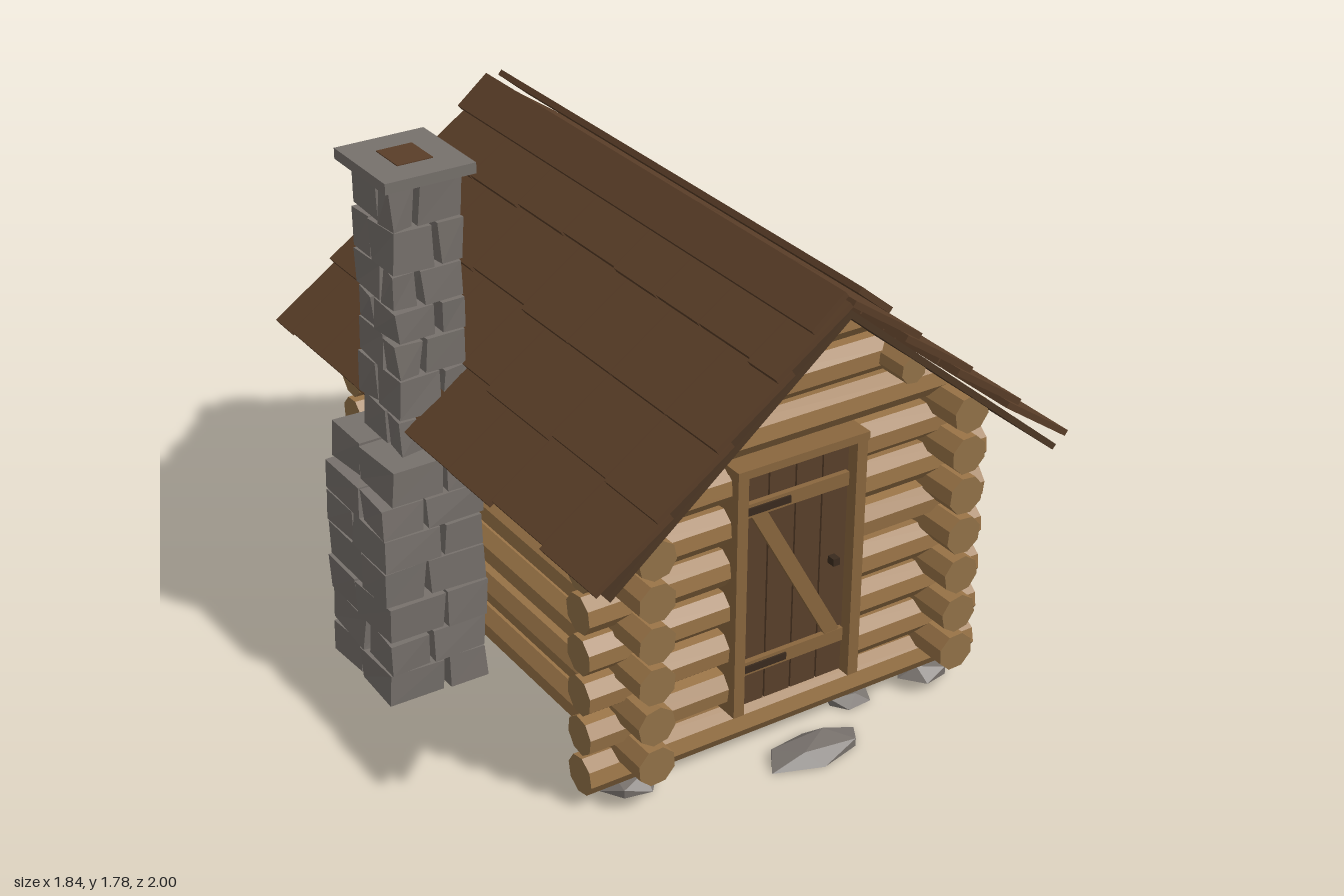
import * as THREE from 'three';

const mat = (name, color, extra = {}) => {
  const m = new THREE.MeshStandardMaterial({ color, flatShading: true, ...extra });
  m.name = name;
  return m;
};

export function createModel() {
  const M = {
    log: mat('log wood', 0x9a7447),
    end: mat('cut log end', 0x937349),
    trim: mat('trim wood', 0x8a673e),
    door: mat('door wood', 0x5a402a),
    shingle: mat('shingle', 0x5a3e28),
    deck: mat('roof deck and floor', 0x4e3825),
    stone: mat('stone', 0x77716c),
    iron: mat('iron', 0x3a2b1e),
    glass: mat('window glass', 0xd0c58c),
  };
  let seed = 7;
  const rnd = () => (seed = (seed * 16807) % 2147483647) / 2147483647;
  const model = new THREE.Group();
  model.name = 'logCabin';
  const group = (name, parent = model) => {
    const g = new THREE.Group();
    g.name = name;
    parent.add(g);
    return g;
  };
  const add = (parent, name, geo, material) => {
    const mesh = new THREE.Mesh(geo, material);
    mesh.name = name;
    parent.add(mesh);
    return mesh;
  };
  // Box given by its limits on each axis
  const box = (parent, name, material, x0, x1, y0, y1, z0, z1) => {
    const m = add(parent, name, new THREE.BoxGeometry(x1 - x0, y1 - y0, z1 - z0), material);
    m.position.set((x0 + x1) / 2, (y0 + y1) / 2, (z0 + z1) / 2);
    return m;
  };

  const CX = 0.06, HX = 0.565, HZ = 0.71, STEP = 0.143, R = 0.066;
  const eachVertex = (geo, fn) => {
    const p = geo.attributes.position, v = new THREE.Vector3();
    for (let i = 0; i < p.count; i++) {
      v.fromBufferAttribute(p, i);
      fn(v);
      p.setXYZ(i, v.x, v.y, v.z);
    }
    geo.computeVertexNormals();
  };
  // Octagonal log running from a to b along x or z
  const log = (parent, name, axis, a, b, y, across, r = R) => {
    const geo = new THREE.CylinderGeometry(r, r * 0.97, b - a, 8);
    geo.rotateY(Math.PI / 8 + (rnd() - 0.5) * 0.5);
    if (axis === 'x') geo.rotateZ(Math.PI / 2);
    else geo.rotateX(Math.PI / 2);
    const mid = (a + b) / 2;
    geo.translate(axis === 'x' ? mid : across, y, axis === 'x' ? across : mid);
    if (axis === 'x') eachVertex(geo, v => {
      // Trim the ends to the roof slope
      const lim = (1.545 - v.y) / 0.827;
      v.x = THREE.MathUtils.clamp(v.x, CX - lim, CX + lim);
    });
    add(parent, name, geo, [M.log, M.end, M.end]);
  };

  // Front and back walls with gables; the front leaves a doorway
  const walls = group('walls');
  for (let i = 0; i < 10; i++) {
    const y = 0.098 + STEP * i;
    log(walls, 'backLog', 'x', CX - 0.73, CX + 0.73, y, -HZ);
    if (i > 0 && i < 7) {
      log(walls, 'frontLogRight', 'x', CX - 0.73, -0.15, y, HZ);
      log(walls, 'frontLogLeft', 'x', 0.27, CX + 0.73, y, HZ);
    } else log(walls, 'frontLog', 'x', CX - 0.73, CX + 0.73, y, HZ);
  }
  // Side walls; the left one leaves a window opening
  for (let i = 0; i < 7; i++) {
    const y = 0.167 + STEP * i;
    log(walls, 'rightSideLog', 'z', -0.88, 0.88, y, CX - HX);
    if (i === 2 || i === 3) {
      log(walls, 'leftSideLogBack', 'z', -0.88, -0.06, y, CX + HX);
      log(walls, 'leftSideLogFront', 'z', 0.29, 0.88, y, CX + HX);
    } else log(walls, 'leftSideLog', 'z', -0.88, 0.88, y, CX + HX);
  }

  // Floor planks
  const floor = group('floor');
  for (let i = 0; i < 6; i++) {
    const x = -0.49 + i * 0.184;
    box(floor, 'floorPlank', M.deck, x, x + 0.18, 0.12, 0.15, -0.7, 0.7);
  }

  // Door with frame, braces and ironwork
  const door = group('door');
  for (let i = 0; i < 4; i++) {
    const x = -0.135 + i * 0.098;
    box(door, 'doorPlank', M.door, x, x + 0.092, 0.175, 1.0, 0.735, 0.765);
  }
  box(door, 'doorBacking', M.iron, -0.14, 0.26, 0.17, 1.0, 0.725, 0.735);
  for (const x of [-0.175, 0.257]) box(door, 'doorPost', M.trim, x, x + 0.038, 0.165, 1.0, 0.64, 0.8);
  box(door, 'doorLintel', M.trim, -0.178, 0.298, 1.0, 1.028, 0.64, 0.805);
  for (const y of [0.317, 0.873]) {
    box(door, 'doorBrace', M.trim, -0.128, 0.243, y - 0.023, y + 0.023, 0.765, 0.783);
    box(door, 'hinge', M.iron, -0.135, 0.025, y - 0.012, y + 0.012, 0.783, 0.789);
  }
  const brace = add(door, 'diagonalBrace', new THREE.BoxGeometry(0.05, 0.6, 0.016), M.trim);
  brace.position.set(0.06, 0.595, 0.774);
  brace.rotation.z = Math.atan2(0.29, 0.52);
  box(door, 'doorHandle', M.iron, 0.188, 0.212, 0.585, 0.61, 0.765, 0.795);

  // Window in the left wall
  const win = group('window');
  box(win, 'pane', M.glass, 0.652, 0.66, 0.39, 0.652, -0.058, 0.288);
  box(win, 'mullionUpright', M.iron, 0.66, 0.676, 0.39, 0.652, 0.107, 0.123);
  box(win, 'mullionBar', M.iron, 0.66, 0.676, 0.521, 0.537, -0.055, 0.285);
  for (const z of [-0.082, 0.285]) box(win, 'windowPost', M.trim, 0.57, 0.715, 0.385, 0.67, z, z + 0.027);
  box(win, 'windowHead', M.trim, 0.57, 0.715, 0.648, 0.672, -0.082, 0.312);
  box(win, 'windowSill', M.trim, 0.57, 0.735, 0.372, 0.392, -0.1, 0.335);

  // Ridge beam and purlins
  const roof = group('roof');
  log(roof, 'ridgeBeam', 'z', -0.88, 0.88, 1.508, CX, 0.057);
  log(roof, 'purlinLeft', 'z', -0.74, 0.88, 1.24, CX + 0.33, 0.046);
  log(roof, 'purlinRight', 'z', -0.88, 0.74, 1.24, CX - 0.33, 0.046);

  // Roof slopes: deck, four shingle courses (seams along z) and a ridge board
  const eaves = [1.06, 0.8, 0.54, 0.29];
  const seams = {
    1: [[-0.69, -0.46, -0.115, 0.135, 0.46, 0.69], [-0.8, -0.53, -0.25, 0.055, 0.37, 0.65, 0.91],
      [-0.85, -0.59, -0.32, 0, 0.27, 0.56, 0.79], [-0.74, -0.48, -0.18, 0.09, 0.34, 0.59, 0.88]],
    '-1': [[-0.89, -0.69, -0.44, -0.13, 0.18, 0.42, 0.71], [-0.59, -0.32, -0.1, 0.07, 0.43, 0.73],
      [-0.82, -0.62, -0.38, -0.06, 0.21, 0.45, 0.74], [-0.71, -0.42, -0.15, 0.15, 0.38, 0.6, 0.86]],
  };
  for (const s of [1, -1]) {
    const slope = group(s > 0 ? 'leftSlope' : 'rightSlope', roof);
    slope.position.set(CX, 1.57, 0);
    slope.rotation.z = -s * 0.691;
    const deck = add(slope, 'roofDeck', new THREE.BoxGeometry(1.05, 0.02, 1.99), M.deck);
    deck.position.set(s * 0.525, -0.01, 0);
    eaves.forEach((d, row) => {
      const zs = [-1, ...seams[s][row], 1];
      for (let i = 0; i + 1 < zs.length; i++) {
        const len = 0.3 + (rnd() - 0.5) * 0.02;
        const a = zs[i] + (i ? 0.003 : 0), b = zs[i + 1] - (i + 2 < zs.length ? 0.003 : 0);
        const tile = add(slope, 'shingle', new THREE.BoxGeometry(len, 0.02, b - a), M.shingle);
        tile.position.set(s * (d - 0.3 + len / 2), 0.032, (a + b) / 2);
        tile.rotation.z = s * 0.09;
      }
    });
    const board = add(slope, 'ridgeBoard', new THREE.BoxGeometry(0.145, 0.02, 2), M.shingle);
    board.position.set(s * 0.0525, 0.06, 0);
  }

  // Chimney: rough blocks in courses with alternating joints
  const chimney = group('chimney');
  const block = (x0, x1, y0, y1, z0, z1) => {
    const m = box(chimney, 'chimneyStone', M.stone, x0, x1, y0, y1, z0, z1);
    const cut = Array.from({ length: 8 }, () => [rnd() * 0.018, rnd() * 0.006, rnd() * 0.014]);
    eachVertex(m.geometry, v => {
      const c = cut[(v.x > 0) + 2 * (v.y > 0) + 4 * (v.z > 0)];
      v.set(v.x - Math.sign(v.x) * c[0], v.y - Math.sign(v.y) * c[1], v.z - Math.sign(v.z) * c[2]);
    });
  };
  const levels = [0, 0.12, 0.237, 0.37, 0.5, 0.615, 0.725, 0.85, 0.97, 1.11, 1.23, 1.34, 1.46, 1.6, 1.745];
  for (let i = 0; i + 1 < levels.length; i++) {
    const low = i < 7;
    const x0 = low ? (i === 6 ? -0.89 : -0.925) : -0.815, x1 = -0.563;
    const z0 = low ? -0.43 : -0.352, z1 = low ? -0.015 : -0.085;
    const zm = (z0 + z1) / 2 + (i % 2 ? 0.035 : -0.02);
    const xm = (x0 + x1) / 2 + (i % 2 ? -0.03 : 0.03);
    for (const [a, b] of [[x0, xm], [xm, x1]])
      for (const [c, d] of [[z0, zm], [zm, z1]]) block(a, b, levels[i], levels[i + 1], c, d);
  }
  box(chimney, 'chimneyCap', M.stone, -0.837, -0.535, 1.742, 1.777, -0.382, -0.057);
  box(chimney, 'flueOpening', M.shingle, -0.745, -0.625, 1.776, 1.78, -0.288, -0.155);

  // Foundation stones and doorstep: x, z, half width, height, half depth
  const base = group('foundation');
  const rocks = [
    [-0.5, 0.71, 0.1, 0.045, 0.09], [0.63, 0.71, 0.1, 0.045, 0.09],
    [-0.5, -0.71, 0.1, 0.045, 0.09], [0.63, -0.71, 0.1, 0.045, 0.09],
    [0.33, 0.71, 0.085, 0.04, 0.07], [-0.2, -0.71, 0.085, 0.04, 0.07],
    [0.61, 0, 0.07, 0.11, 0.065], [0.07, 0.885, 0.19, 0.045, 0.09],
  ];
  for (const [x, z, w, h, d] of rocks) {
    const geo = new THREE.IcosahedronGeometry(1, 0);
    geo.rotateY(rnd() * 3);
    eachVertex(geo, v => v.set(v.x * w, Math.max(0, v.y + 0.1) * h, v.z * d));
    add(base, w > 0.15 ? 'doorstep' : 'foundationStone', geo, M.stone).position.set(x, 0, z);
  }
  return model;
}
